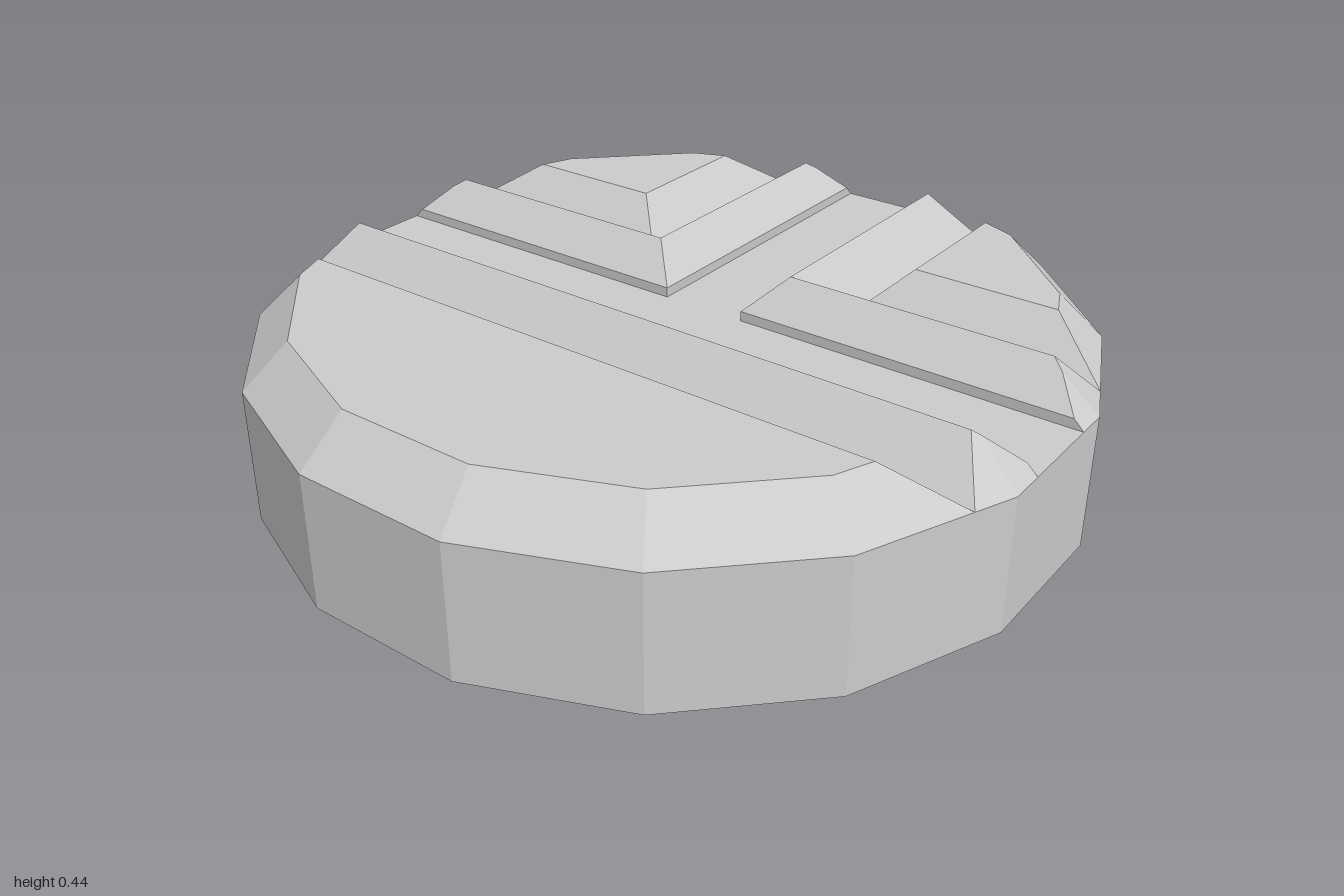
import * as THREE from 'three';
import { mergeGeometries } from 'three/addons/utils/BufferGeometryUtils.js';

const SIDES = 16, RIM = 0.335, TOP = 0.445, FAR = 2;
const CHANNEL = 0.112, Z_MID = -0.004;

// Groove profile away from the channel: [distance, height]
const PROFILE = [
  [CHANNEL, RIM], [CHANNEL + 0.0001, 0.36], [0.197, TOP],
  [0.304, RIM], [0.416, TOP], [FAR, TOP],
];

// Sloping planes of the bevelled rim, as height functions of x and z
const bevels = Array.from({ length: SIDES }, (_, i) => {
  const a = (i / SIDES) * Math.PI * 2, c = Math.cos(a), s = Math.sin(a);
  return (x, z) => RIM + 1 - x * c - z * s;
});

// Keep the part of a polygon of [x, z] points where f >= 0
function clip(poly, f) {
  const out = [];
  poly.forEach((p, i) => {
    const q = poly[(i + 1) % poly.length];
    const a = f(...p), b = f(...q);
    if (a >= 0) out.push(p);
    if ((a >= 0) !== (b >= 0)) {
      const t = a / (a - b);
      out.push([p[0] + (q[0] - p[0]) * t, p[1] + (q[1] - p[1]) * t]);
    }
  });
  return out;
}

// Faces of the surface min(height, bevels) over one region
function addFaces(positions, region, height) {
  const planes = [height, ...bevels];
  const area = bevels.reduce((p, b) => clip(p, (x, z) => b(x, z) - RIM), region);
  for (const plane of planes) {
    let poly = area;
    for (const other of planes) {
      if (other !== plane) poly = clip(poly, (x, z) => other(x, z) - plane(x, z));
    }
    let signed = 0;
    poly.forEach(([x, z], i) => {
      const [x2, z2] = poly[(i + 1) % poly.length];
      signed += x2 * z - x * z2;
    });
    if (Math.abs(signed) < 1e-9) continue;
    if (signed < 0) poly.reverse();
    for (let i = 1; i < poly.length - 1; i++) {
      for (const [x, z] of [poly[0], poly[i], poly[i + 1]]) positions.push(x, plane(x, z), z);
    }
  }
}

function surface(name, material, pieces) {
  const positions = [];
  for (const { region, height } of pieces) addFaces(positions, region, height);
  const geometry = new THREE.BufferGeometry();
  geometry.setAttribute('position', new THREE.Float32BufferAttribute(positions, 3));
  geometry.computeVertexNormals();
  const mesh = new THREE.Mesh(geometry, material);
  mesh.name = name;
  return mesh;
}

// One piece per step of the profile
function bands(makeRegion, distance) {
  return PROFILE.slice(1).map(([d1, h1], i) => {
    const [d0, h0] = PROFILE[i];
    return {
      region: makeRegion(d0, d1),
      height: (x, z) => h0 + ((h1 - h0) * (distance(x, z) - d0)) / (d1 - d0),
    };
  });
}

const rect = (x0, x1, z0, z1) => [[x0, z0], [x1, z0], [x1, z1], [x0, z1]];

export function createModel() {
  const model = new THREE.Group();
  const material = new THREE.MeshStandardMaterial({ color: 0xcccccc, flatShading: true });

  // Sixteen-sided body and its underside
  const radius = 1 / Math.cos(Math.PI / SIDES);
  const wall = new THREE.CylinderGeometry(radius, radius, RIM, SIDES, 1, true)
    .rotateY(Math.PI / SIDES).translate(0, RIM / 2, 0);
  const bottom = new THREE.CircleGeometry(radius, SIDES)
    .rotateZ(Math.PI / SIDES).rotateX(Math.PI / 2);
  const base = new THREE.Mesh(mergeGeometries([wall, bottom]), material);
  base.name = 'base';
  model.add(base);

  // T-shaped channel floor
  const flat = () => RIM;
  model.add(surface('channelFloor', material, [
    { region: rect(-FAR, FAR, Z_MID - CHANNEL, Z_MID + CHANNEL), height: flat },
    { region: rect(-CHANNEL, CHANNEL, -FAR, Z_MID - CHANNEL), height: flat },
  ]));

  // Front raised pad with straight grooves
  model.add(surface('frontPad', material, bands(
    (a, b) => rect(-FAR, FAR, Z_MID + a, Z_MID + b),
    (x, z) => z - Z_MID,
  )));

  // Back raised pads with grooves mitred at the corner
  for (const [name, s] of [['backLeftPad', 1], ['backRightPad', -1]]) {
    model.add(surface(name, material, [
      ...bands(
        (a, b) => [[s * a, Z_MID - a], [s * FAR, Z_MID - a], [s * FAR, Z_MID - b], [s * b, Z_MID - b]],
        (x, z) => Z_MID - z,
      ),
      ...bands(
        (a, b) => [[s * a, Z_MID - a], [s * a, Z_MID - FAR], [s * b, Z_MID - FAR], [s * b, Z_MID - b]],
        (x) => s * x,
      ),
    ]));
  }
  return model;
}
